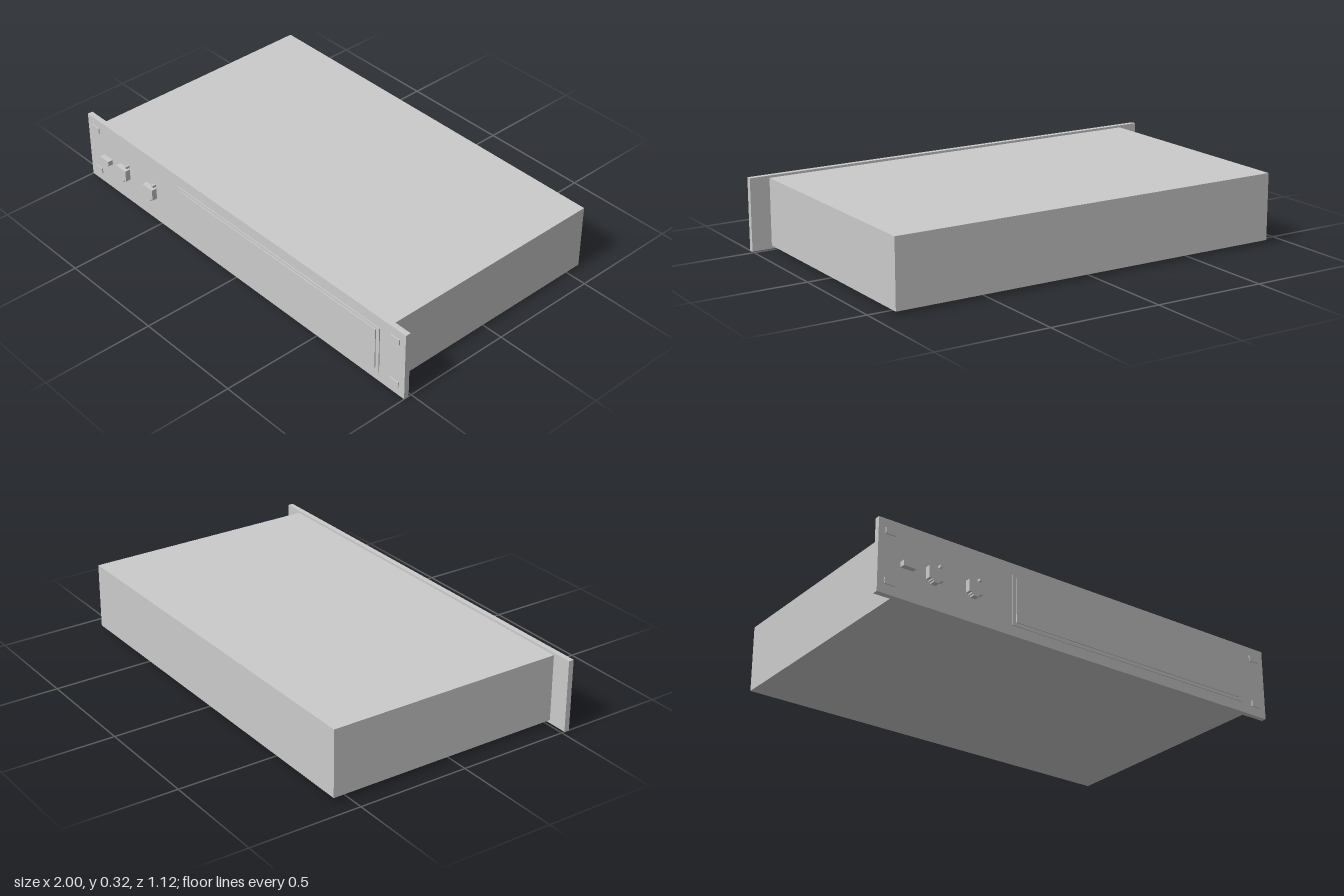
import * as THREE from 'three';

const grey = new THREE.MeshStandardMaterial({ color: 0xcccccc });

// Box given by its min and max corners
function block(name, [x0, y0, z0], [x1, y1, z1]) {
  const mesh = new THREE.Mesh(new THREE.BoxGeometry(x1 - x0, y1 - y0, z1 - z0), grey);
  mesh.position.set((x0 + x1) / 2, (y0 + y1) / 2, (z0 + z1) / 2);
  mesh.name = name;
  return mesh;
}

const FACE = 0.538; // front surface of the faceplate

// Network socket: wide body stepping down to a latch notch, with a status light above
function socket(x) {
  const group = new THREE.Group();
  group.name = 'networkSocket';
  const half = [[0.033, 0.17], [0.033, 0.118], [0.02, 0.118], [0.02, 0.111], [0.013, 0.111], [0.013, 0.104]];
  const outline = [...half, ...half.map(([px, py]) => [-px, py]).reverse()];
  const shape = new THREE.Shape(outline.map(([px, py]) => new THREE.Vector2(px, py)));
  const body = new THREE.Mesh(new THREE.ExtrudeGeometry(shape, { depth: 0.024, bevelEnabled: false }), grey);
  body.name = 'socketBody';
  body.position.z = FACE;
  group.add(body, block('statusLight', [0.022, 0.181, FACE], [0.033, 0.192, 0.556]));
  group.position.x = x;
  return group;
}

export function createModel() {
  const model = new THREE.Group();
  model.name = 'rackUnit';

  // Chassis and wider faceplate with mounting ears
  model.add(block('chassis', [-0.91, 0.014, -0.562], [0.91, 0.31, 0.515]));
  model.add(block('faceplate', [-1, 0, 0.514], [1, 0.32, FACE]));

  // Raised mounting slots in the four corners
  for (const x of [-0.945, 0.945])
    for (const y of [0.054, 0.268])
      model.add(block('mountingSlot', [x - 0.024, y - 0.013, FACE], [x + 0.024, y + 0.013, 0.543]));

  // Thin stepped display panel
  model.add(block('displayBezel', [-0.37, 0.045, FACE], [0.86, 0.268, 0.542]));
  model.add(block('displayPanel', [-0.352, 0.06, FACE], [0.842, 0.255, 0.546]));

  // Connectors
  model.add(block('flatSocket', [-0.898, 0.132, FACE], [-0.84, 0.155, 0.562]));
  for (const x of [-0.747, -0.56]) model.add(socket(x));

  return model;
}
